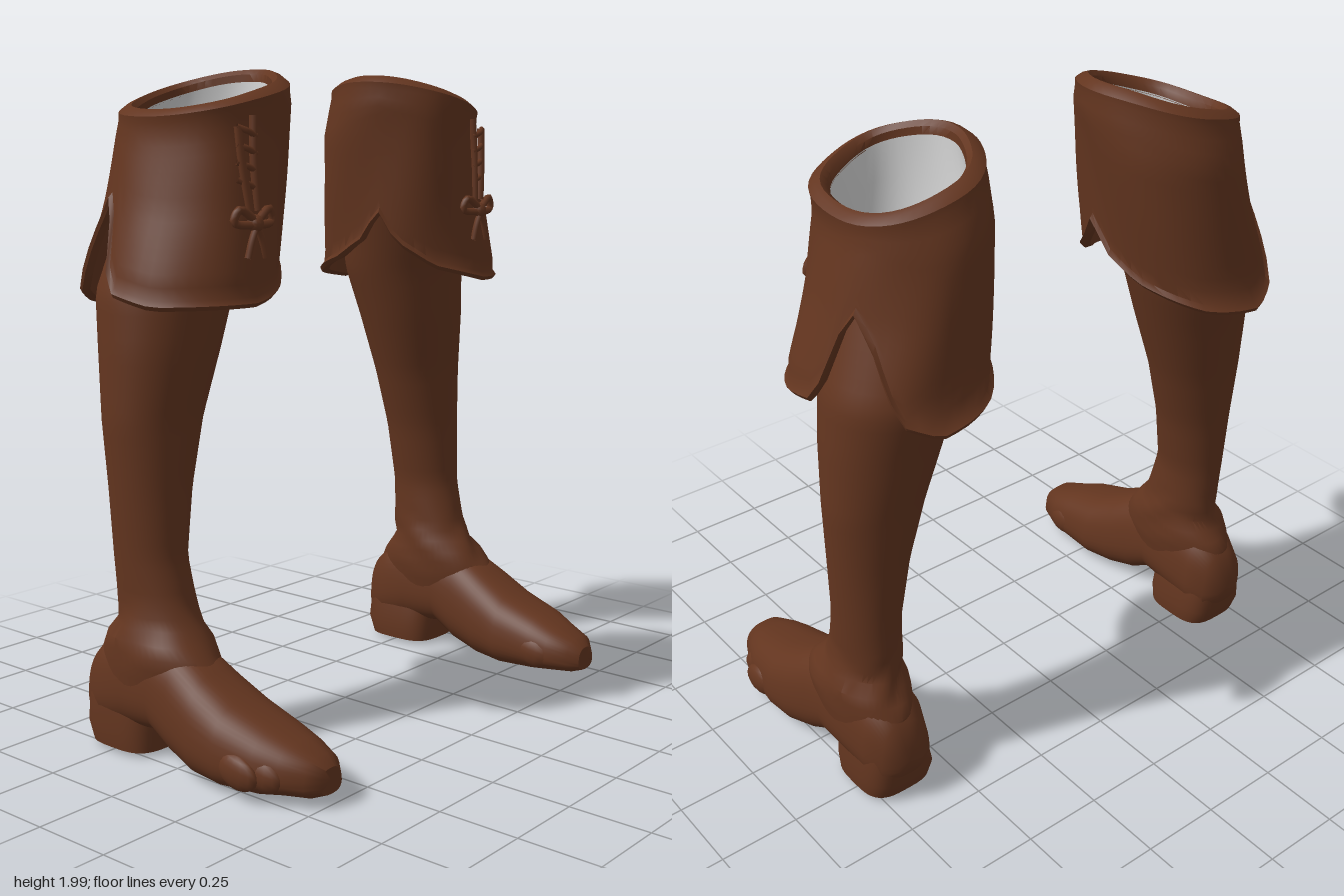
import * as THREE from 'three';
import { toCreasedNormals } from 'three/addons/utils/BufferGeometryUtils.js';

const N = 48;
const TAU = Math.PI * 2;

// Linear lookup in a table sorted by its first column; returns the other columns
function lookup(table, v) {
  let i = 0;
  while (i < table.length - 2 && v > table[i + 1][0]) i++;
  const a = table[i], b = table[i + 1];
  const t = THREE.MathUtils.clamp((v - a[0]) / (b[0] - a[0]), 0, 1);
  return a.slice(1).map((q, k) => q + (b[k + 1] - q) * t);
}

// Rounded cross-section point in the box u0..u1, v0..v1; lower power is squarer
function oval(u0, u1, v0, v1, ang, power = 1) {
  const bend = (c) => Math.sign(c) * Math.abs(c) ** power;
  return [
    (u0 + u1) / 2 + (u1 - u0) / 2 * bend(Math.cos(ang)),
    (v0 + v1) / 2 + (v1 - v0) / 2 * bend(Math.sin(ang)),
  ];
}

const ring = (fn) => Array.from({ length: N }, (_, i) => fn(i / N * TAU));

// Closed rings joined into a skin; side = -1 mirrors it with its winding
function skin(rows, side, crease = 0.7) {
  const pos = [], index = [];
  rows.forEach((r) => r.forEach(([x, y, z]) => pos.push(x * side, y, z)));
  for (let j = 0; j < rows.length - 1; j++) {
    for (let i = 0; i < N; i++) {
      const k = (i + 1) % N;
      const a = j * N + i, b = j * N + k, c = a + N, d = b + N;
      if (side > 0) index.push(a, c, b, b, c, d);
      else index.push(a, b, c, b, d, c);
    }
  }
  const g = new THREE.BufferGeometry();
  g.setAttribute('position', new THREE.Float32BufferAttribute(pos, 3));
  g.setIndex(index);
  return toCreasedNormals(g, crease);
}

// Collapse a ring to its middle to close an end
function cap(row) {
  const m = [0, 1, 2].map((k) => row.reduce((s, p) => s + p[k], 0) / row.length);
  return row.map(() => m);
}

// y, inner x, outer x, back z, front z
const SHAFT = [
  [0.16, 0.57, 0.79, -0.36, 0.06], [0.30, 0.55, 0.80, -0.36, 0.09],
  [0.355, 0.55, 0.80, -0.325, 0.045], [0.40, 0.555, 0.775, -0.295, 0.005],
  [0.46, 0.565, 0.76, -0.295, -0.03], [0.60, 0.57, 0.765, -0.30, -0.065],
  [0.80, 0.535, 0.775, -0.315, -0.067], [1.00, 0.48, 0.785, -0.34, -0.06],
  [1.20, 0.415, 0.778, -0.375, -0.03], [1.36, 0.365, 0.765, -0.41, -0.01],
  [1.62, 0.30, 0.67, -0.38, 0.06],
];
const CUFF = [
  [1.31, 0.295, 0.805, -0.495, 0.13], [1.40, 0.285, 0.795, -0.46, 0.13],
  [1.60, 0.262, 0.73, -0.44, 0.118], [1.80, 0.24, 0.685, -0.42, 0.11],
  [1.91, 0.233, 0.68, -0.38, 0.115], [2.0, 0.245, 0.665, -0.35, 0.095],
];
// Hem height by angle: 0 outer, 90 front, 180 inner, 270 back
const HEM = [
  [0, 1.36], [25, 1.33], [90, 1.335], [130, 1.38], [155, 1.46], [166, 1.56],
  [180, 1.46], [200, 1.40], [240, 1.34], [280, 1.31], [300, 1.35],
  [322, 1.53], [341, 1.64], [352, 1.42], [360, 1.36],
];
// z, bottom y, top y, inner x, outer x
const FOOT = [
  [0.50, 0.045, 0.12, 0.61, 0.70], [0.47, 0.035, 0.15, 0.58, 0.74],
  [0.40, 0.03, 0.175, 0.55, 0.775], [0.33, 0.02, 0.205, 0.54, 0.805],
  [0.20, 0.012, 0.25, 0.53, 0.825], [0.10, 0.02, 0.305, 0.54, 0.825],
  [0.00, 0.05, 0.36, 0.55, 0.81], [-0.08, 0.10, 0.38, 0.555, 0.805],
  [-0.20, 0.085, 0.39, 0.55, 0.80], [-0.30, 0.07, 0.355, 0.555, 0.79],
  [-0.365, 0.075, 0.29, 0.58, 0.765], [-0.395, 0.12, 0.21, 0.63, 0.72],
];
const HEEL = [[0.025, 0.555, 0.785, -0.365, -0.115], [0.08, 0.55, 0.79, -0.385, -0.11], [0.17, 0.57, 0.78, -0.385, -0.11]];

function shaftRows() {
  const rows = [];
  for (let k = 0; k <= 42; k++) {
    const y = 0.16 + k / 42 * 1.46;
    const [x0, x1, z0, z1] = lookup(SHAFT, y);
    // soft creases gather around the ankle
    const fold = 0.007 * Math.exp(-(((y - 0.38) / 0.07) ** 2));
    rows.push(ring((a) => {
      const w = fold * Math.sin(y * 130 + 3 * Math.sin(a * 2));
      const [x, z] = oval(x0 - w, x1 + w, z0 - w, z1 + w, a);
      return [x, y, z];
    }));
  }
  return rows;
}

const rimY = (a) => 1.932 - 0.06 * Math.cos(a);

// Point on the cuff at a height, grown outwards by an amount
function cuffPoint(a, y, grow) {
  const [x0, x1, z0, z1] = lookup(CUFF, y);
  const w = grow + 0.004 * Math.sin(a * 5 + y * 9);
  const [x, z] = oval(x0 - w, x1 + w, z0 - w, z1 + w, a, 0.95);
  return [x, y, z];
}

function cuffRows() {
  const hem = (a) => lookup(HEM, a * 360 / TAU)[0];
  const rows = [];
  // hidden inside face, then the thick hem edge
  rows.push(ring((a) => cuffPoint(a, Math.max(1.68, hem(a) + 0.03), -0.03)));
  rows.push(ring((a) => cuffPoint(a, hem(a) + 0.01, -0.022)));
  rows.push(ring((a) => cuffPoint(a, hem(a), 0)));
  rows.push(ring((a) => cuffPoint(a, hem(a) + 0.012, 0.01)));
  rows.push(ring((a) => cuffPoint(a, hem(a) + 0.028, 0)));
  for (let k = 1; k <= 14; k++) {
    rows.push(ring((a) => cuffPoint(a, THREE.MathUtils.lerp(hem(a) + 0.028, rimY(a) - 0.035, k / 14), 0)));
  }
  // rolled rim
  [[-0.015, 0.004], [0, -0.012], [0.006, -0.028], [-0.008, -0.045], [-0.035, -0.052]].forEach(([dy, g]) =>
    rows.push(ring((a) => cuffPoint(a, rimY(a) + dy, g))));
  return rows;
}

const liningRows = () => [0, 0.33, 0.66, 1].map((t) =>
  ring((a) => cuffPoint(a, THREE.MathUtils.lerp(rimY(a) - 0.03, 1.60, t), -0.052 + 0.008 * t)));

function footRows() {
  const rows = FOOT.map(([z, y0, y1, x0, x1]) => ring((a) => {
    let [x, y] = oval(x0, x1, y0, y1, a, 0.72);
    // instep narrows towards the top
    const mid = (x0 + x1) / 2;
    const up = (y - y0) / (y1 - y0);
    x = mid + (x - mid) * (1 - 0.22 * up * up);
    return [x, y, z];
  }));
  return [cap(rows[0]), ...rows, cap(rows[rows.length - 1])];
}

function heelRows() {
  const rows = HEEL.map(([y, x0, x1, z0, z1]) => ring((a) => {
    const [x, z] = oval(x0, x1, z0, z1, a, 0.6);
    return [x, y, z];
  }));
  return [cap(rows[0]), ...rows];
}

export function createModel() {
  const leather = new THREE.MeshStandardMaterial({ color: 0x63351f });
  leather.name = 'brown leather';
  leather.side = THREE.DoubleSide;
  const lining = new THREE.MeshStandardMaterial({ color: 0xd6d6d6 });
  lining.name = 'pale lining';
  lining.side = THREE.DoubleSide;

  const model = new THREE.Group();
  model.name = 'boots';
  for (const side of [1, -1]) {
    const boot = new THREE.Group();
    boot.name = side > 0 ? 'leftBoot' : 'rightBoot';
    const add = (name, geo, mat = leather) => {
      const m = new THREE.Mesh(geo, mat);
      m.name = name;
      boot.add(m);
      return m;
    };
    add('shaft', skin(shaftRows(), side));
    add('cuff', skin(cuffRows(), side));
    add('cuffLining', skin(liningRows(), side), lining);
    add('foot', skin(footRows(), side));
    add('heel', skin(heelRows(), side));

    // creased toe cap: x, front z, radius
    [[0.572, 0.41, 0.030], [0.615, 0.475, 0.032], [0.66, 0.495, 0.034], [0.71, 0.47, 0.034], [0.76, 0.41, 0.034], [0.795, 0.35, 0.027]]
      .forEach(([x, z, r]) => {
        const toe = add('toeFold', new THREE.SphereGeometry(1, 14, 10));
        toe.scale.set(r, 0.05, 0.075);
        toe.position.set(x * side, 0.093, z - 0.07);
        toe.rotation.x = 0.2;
      });

    // lacing and knot on the front of the cuff
    const cord = (name, pts, r) => add(name, new THREE.TubeGeometry(
      new THREE.CatmullRomCurve3(pts.map(([x, y, z]) => new THREE.Vector3(x * side, y, z))), 16, r, 6));
    cord('laceSeam', [[0.52, 1.86, 0.106], [0.525, 1.75, 0.11], [0.52, 1.6, 0.118]], 0.012);
    cord('laceSeam', [[0.575, 1.83, 0.10], [0.57, 1.75, 0.106], [0.55, 1.6, 0.118]], 0.012);
    for (let k = 0; k < 4; k++) {
      const y = 1.66 + k * 0.048;
      cord('lace', [[0.515, y, 0.11], [0.547, y + 0.012, 0.115], [0.58, y + 0.025, 0.10]], 0.009);
    }
    for (const d of [-1, 1]) {
      cord('bowLoop', [[0.535, 1.57, 0.13], [0.535 + d * 0.06, 1.605, 0.122], [0.535 + d * 0.075, 1.57, 0.116], [0.535, 1.56, 0.13]], 0.012);
      cord('bowEnd', [[0.535, 1.56, 0.13], [0.535 + d * 0.02, 1.52, 0.13], [0.535 + d * 0.035, 1.47, 0.128]], 0.01);
    }
    const knot = add('knot', new THREE.SphereGeometry(0.026, 12, 8));
    knot.position.set(0.535 * side, 1.565, 0.123);
    model.add(boot);
  }
  return model;
}
